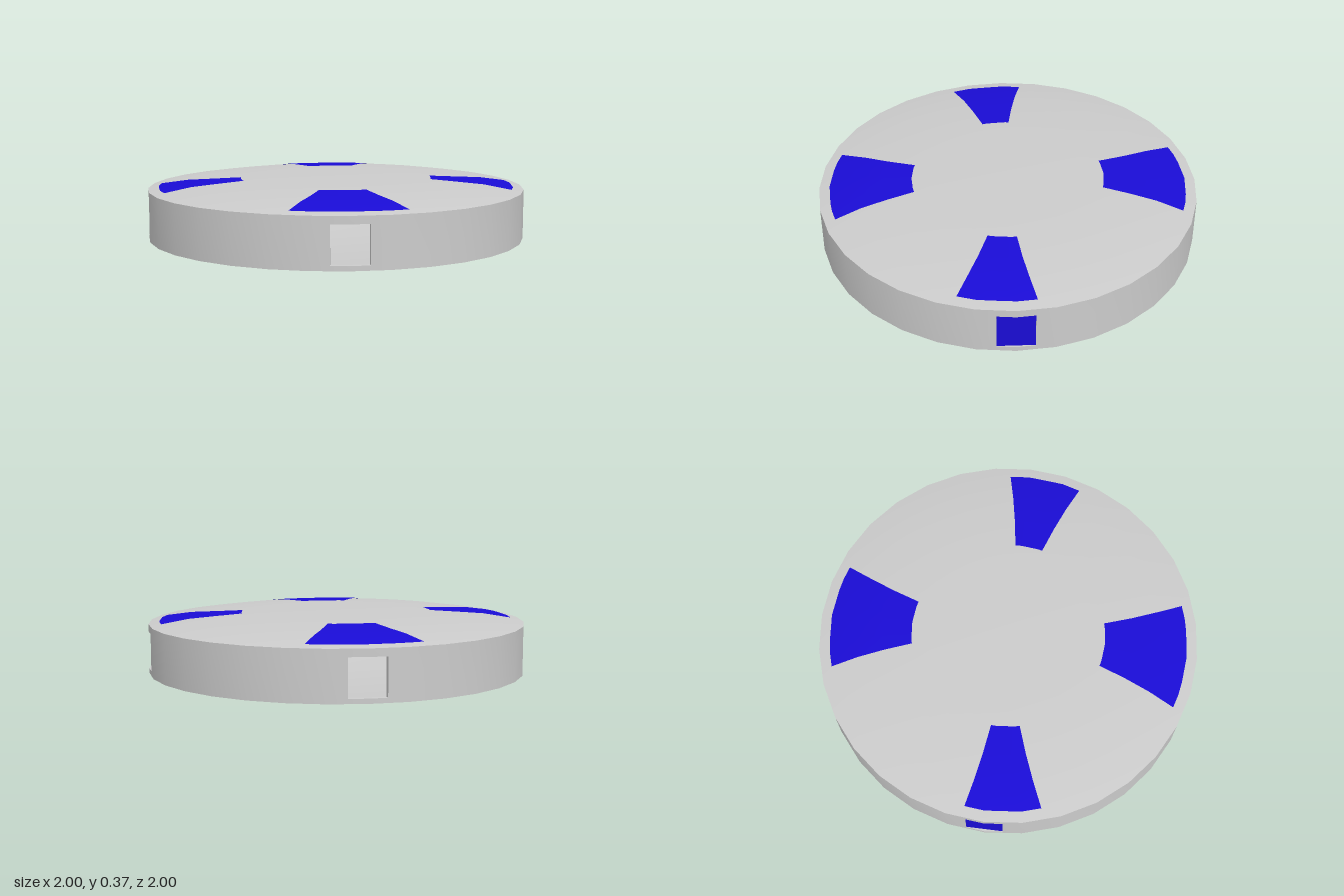
import * as THREE from 'three';
import { mergeGeometries, toCreasedNormals } from 'three/addons/utils/BufferGeometryUtils.js';

const SIDES = 32, STEP = Math.PI * 2 / SIDES, DEG = Math.PI / 180;
const WALL_Y0 = 0.06, WALL_Y1 = 0.32, WIN_Y0 = 0.085, WIN_Y1 = 0.28;
const WIN_HALF = 0.095, WIN_ANGLE = Math.asin(WIN_HALF / 0.994);
const TOP = [[1, WALL_Y1], [0.8, 0.35], [0.43, 0.372], [0, 0.372]];

const grey = new THREE.MeshStandardMaterial({ color: 0xcccccc, side: THREE.DoubleSide });
const blue = new THREE.MeshStandardMaterial({ color: 0x1a0cd6, side: THREE.DoubleSide });

function add(parent, name, geometry, material) {
  const mesh = new THREE.Mesh(geometry, material);
  mesh.name = name;
  parent.add(mesh);
  return mesh;
}

// Distance from the centre to the edge of the unit polygon at an angle
function polyRadius(a) {
  const m = a - Math.floor(a / STEP) * STEP - STEP / 2;
  return Math.cos(STEP / 2) / Math.cos(m);
}

// Height of the domed top at a given ring radius
function topHeight(r) {
  for (let i = 0; i < TOP.length - 1; i++) {
    const [r1, y1] = TOP[i], [r0, y0] = TOP[i + 1];
    if (r >= r0) return y0 + (y1 - y0) * (r - r0) / (r1 - r0);
  }
  return TOP[TOP.length - 1][1];
}

// Block of the rim wall following the listed angles
function wallBlock(angles, y0, y1) {
  const at = (a, k) => new THREE.Vector2(Math.cos(a), Math.sin(a)).multiplyScalar(k * polyRadius(a));
  const outer = angles.map(a => at(a, 1));
  const inner = angles.map(a => at(a, 0.97)).reverse();
  const geo = new THREE.ExtrudeGeometry(new THREE.Shape([...outer, ...inner]), { depth: y1 - y0, bevelEnabled: false });
  return geo.rotateX(-Math.PI / 2).translate(0, y0, 0);
}

// Tapered patch lying on the domed top
function topPatch(inner, outer, lift) {
  const rings = [0.51, 0.66, 0.8, 0.945], cols = 8, pos = [], index = [];
  rings.forEach((r, i) => {
    const t = (r - 0.51) / (0.945 - 0.51);
    const a0 = THREE.MathUtils.lerp(inner[0], outer[0], t);
    const a1 = THREE.MathUtils.lerp(inner[1], outer[1], t);
    for (let j = 0; j <= cols; j++) {
      const a = (a0 + (a1 - a0) * j / cols) * DEG, d = r * polyRadius(a);
      pos.push(Math.cos(a) * d, topHeight(r) + lift, Math.sin(a) * d);
      if (i && j) {
        const k = i * (cols + 1) + j, p = k - cols - 1;
        index.push(p - 1, p, k - 1, p, k, k - 1);
      }
    }
  });
  const geo = new THREE.BufferGeometry();
  geo.setAttribute('position', new THREE.Float32BufferAttribute(pos, 3));
  geo.setIndex(index);
  geo.computeVertexNormals();
  return geo;
}

export function createModel() {
  const model = new THREE.Group();
  model.name = 'disc';

  // Domed lid and dished base
  const lathe = pts => new THREE.LatheGeometry(pts.map(([x, y]) => new THREE.Vector2(x, y)), SIDES);
  add(model, 'lid', lathe(TOP), grey);
  add(model, 'base', lathe([[0, 0], [0.43, 0], [1, WALL_Y0]]), grey);

  // Rim wall with four square windows
  const blocks = [];
  for (let q = 0; q < 4; q++) {
    const c = q * Math.PI / 2;
    const solid = [c + WIN_ANGLE];
    for (let k = 1; k < SIDES / 4; k++) solid.push(c + k * STEP);
    solid.push(c + Math.PI / 2 - WIN_ANGLE);
    const gap = [c - WIN_ANGLE, c, c + WIN_ANGLE];
    blocks.push(
      wallBlock(solid, WALL_Y0, WALL_Y1),
      wallBlock(gap, WALL_Y0, WIN_Y0),
      wallBlock(gap, WIN_Y1, WALL_Y1)
    );
  }
  add(model, 'rimWall', toCreasedNormals(mergeGeometries(blocks), 0.5), grey);

  // Blue panes closing the two side windows
  for (const side of [1, -1]) {
    const pane = add(model, side > 0 ? 'leftPane' : 'rightPane',
      new THREE.BoxGeometry(0.012, WIN_Y1 - WIN_Y0, WIN_HALF * 2), blue);
    pane.position.set(side * 0.982, (WIN_Y0 + WIN_Y1) / 2, 0);
  }

  // Blue patches on the lid, seen from above and from inside
  const mirror = list => list.map(a => 180 - a);
  const sideIn = [-2.8, 13.8], sideOut = [-6.4, 17.4];
  const patches = {
    frontPatch: [[76.5, 103.5], [72.4, 107.6]],
    backPatch: [[256.5, 283.5], [252.4, 287.6]],
    leftPatch: [sideIn, sideOut],
    rightPatch: [mirror(sideIn), mirror(sideOut)]
  };
  for (const [name, [inner, outer]] of Object.entries(patches)) {
    const geo = mergeGeometries([0.003, -0.003].map(lift => topPatch(inner, outer, lift)));
    add(model, name, geo, blue);
  }
  return model;
}
